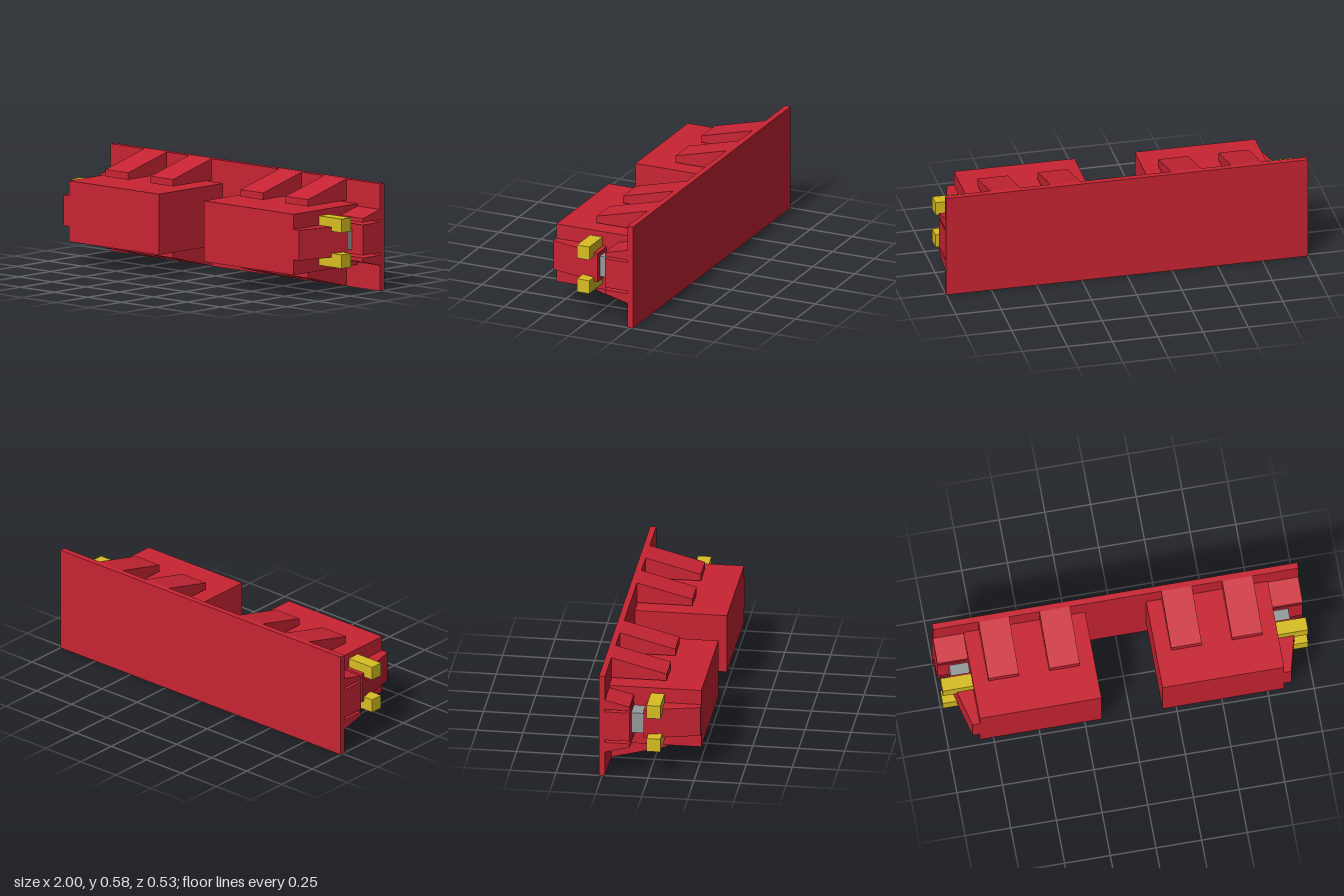
import * as THREE from 'three';

const red = new THREE.MeshStandardMaterial({ color: 0xc92433, flatShading: true });
const yellow = new THREE.MeshStandardMaterial({ color: 0xd9be22, flatShading: true });
const grey = new THREE.MeshStandardMaterial({ color: 0x959a9b, flatShading: true });
const MID = 0.2925; // mid height
const BACK = -0.234; // front face of the back plate

export function createModel() {
  const group = new THREE.Group();

  function add(name, geometry, material) {
    const mesh = new THREE.Mesh(geometry, material);
    mesh.name = name;
    group.add(mesh);
  }

  // Box from its limits
  function box(name, material, x0, x1, y0, y1, z0, z1) {
    const g = new THREE.BoxGeometry(Math.abs(x1 - x0), y1 - y0, z1 - z0);
    add(name, g.translate((x0 + x1) / 2, (y0 + y1) / 2, (z0 + z1) / 2), material);
  }

  // Side profile of [z, y] points swept between two x positions
  function sideProfile(name, points, x0, x1) {
    const shape = new THREE.Shape(points.map(([z, y]) => new THREE.Vector2(-z, y)));
    const depth = Math.abs(x1 - x0);
    const g = new THREE.ExtrudeGeometry(shape, { depth, bevelEnabled: false });
    add(name, g.rotateY(Math.PI / 2).translate(Math.min(x0, x1), 0, 0), red);
  }

  // Plan profile of [x, z] points swept between two heights
  function planProfile(name, points, y0, y1) {
    const shape = new THREE.Shape(points.map(([x, z]) => new THREE.Vector2(x, -z)));
    const g = new THREE.ExtrudeGeometry(shape, { depth: y1 - y0, bevelEnabled: false });
    add(name, g.rotateX(-Math.PI / 2).translate(0, y0, 0), red);
  }

  box('backPlate', red, -1, 1, 0, 0.585, -0.267, BACK);

  for (const s of [1, -1]) {
    const side = s > 0 ? 'left' : 'right';
    box(side + 'Housing', red, s * 0.167, s * 0.833, 0.127, 0.459, BACK, 0.267);

    // Tapered cheek, connector core and rear block at the outer end
    planProfile(side + 'Cheek',
      [[s * 0.833, 0.267], [s * 0.872, 0.267], [s * 0.948, -0.032], [s * 0.833, -0.032]],
      0.21, 0.376);
    box(side + 'Connector', grey, s * 0.833, s > 0 ? 0.92 : -0.936, 0.235, 0.351, -0.1, -0.032);
    box(side + 'RearBlock', red, s * 0.833, s, 0.21, 0.376, BACK, -0.1);

    // Mirrored above and below the mid height
    for (const v of [1, -1]) {
      const level = v > 0 ? 'Upper' : 'Lower';
      const y = (h) => MID + v * h;
      const peg = [y(0.06), y(0.135)].sort((a, b) => a - b);
      box(side + level + 'Peg', yellow, s * 0.833, s, peg[0], peg[1], -0.007, 0.067);

      // Large sloping brackets
      for (const x of [0.25, 0.583]) {
        sideProfile(side + level + 'Bracket',
          [[BACK, y(0.2925)], [0.067, y(0.214)], [0.067, y(0.176)], [BACK, y(0.176)]],
          s * x, s * (x + 0.167));
      }
      // Small sloping bracket at the end
      sideProfile(side + level + 'EndBracket',
        [[BACK, y(0.153)], [-0.1, y(0.119)], [-0.1, y(0.097)], [BACK, y(0.097)]],
        s * 0.833, s);
    }
  }
  return group;
}
